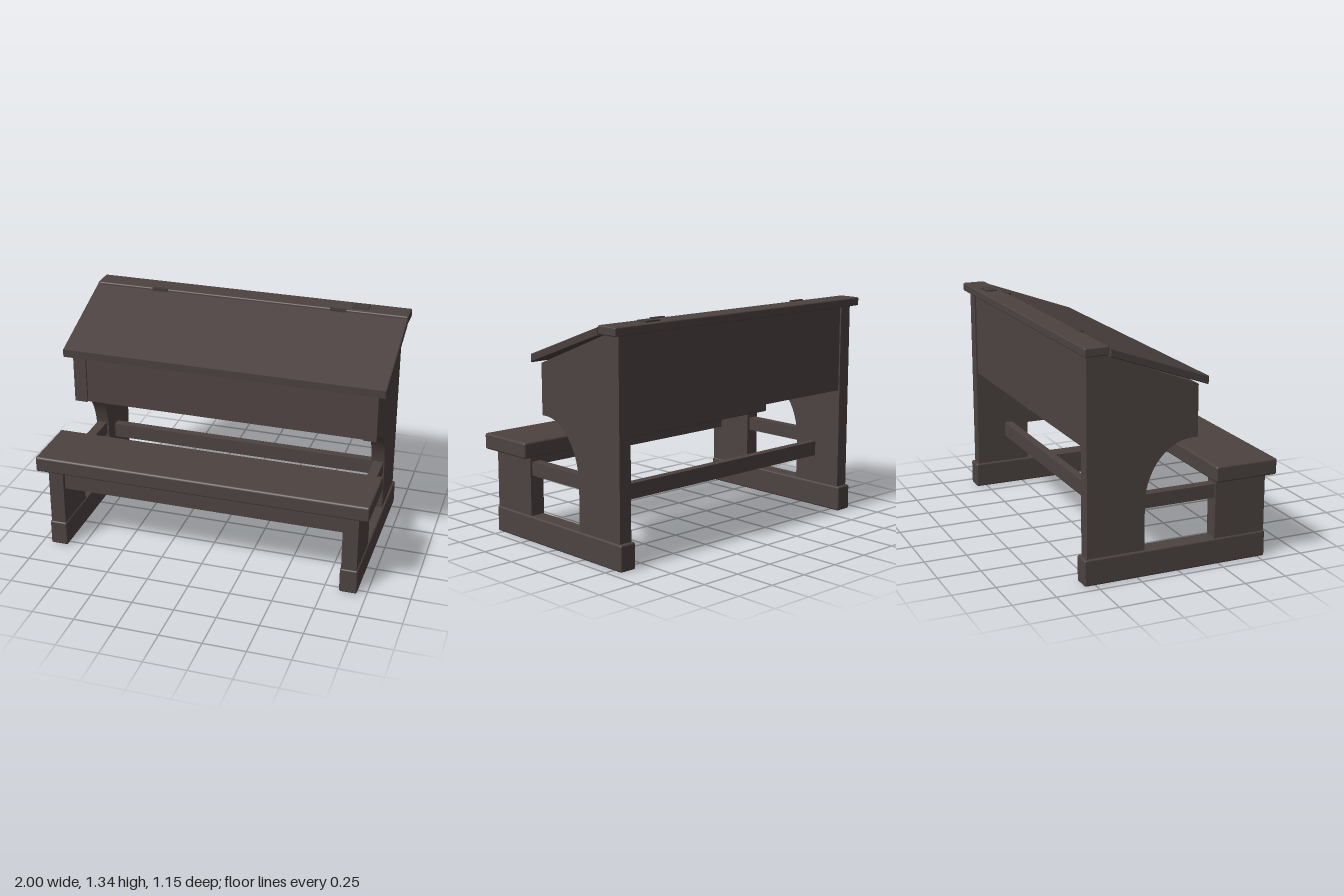
import * as THREE from 'three';
import { RoundedBoxGeometry } from 'three/addons/geometries/RoundedBoxGeometry.js';

const wood = new THREE.MeshStandardMaterial({ color: 0x4d4341 });
wood.name = 'darkWood';
const lidWood = new THREE.MeshStandardMaterial({ color: 0x4a3f3f });
lidWood.name = 'reddishWood';
const metal = new THREE.MeshStandardMaterial({ color: 0x423b3a });
metal.name = 'darkMetal';

export function createModel() {
  const model = new THREE.Group();
  model.name = 'schoolDesk';

  const add = (name, geometry, material) => {
    const mesh = new THREE.Mesh(geometry, material);
    mesh.name = name;
    model.add(mesh);
    return mesh;
  };

  // Box given by its extents; a radius softens the edges
  const box = (name, [x0, x1], [y0, y1], [z0, z1], radius = 0, material = wood) => {
    const size = [x1 - x0, y1 - y0, z1 - z0];
    const geometry = radius
      ? new RoundedBoxGeometry(...size, 2, radius)
      : new THREE.BoxGeometry(...size);
    const mesh = add(name, geometry, material);
    mesh.position.set((x0 + x1) / 2, (y0 + y1) / 2, (z0 + z1) / 2);
  };

  // Side profile drawn as (-z, y), extruded along x between x0 and x1
  const profile = (name, shape, x0, x1, bevel, material) => {
    const geometry = new THREE.ExtrudeGeometry(shape, {
      depth: x1 - x0 - 2 * bevel, curveSegments: 20,
      bevelEnabled: bevel > 0, bevelThickness: bevel, bevelSize: bevel,
      bevelOffset: -bevel, bevelSegments: 1,
    });
    geometry.rotateY(Math.PI / 2);
    geometry.translate(x0 + bevel, 0, 0);
    add(name, geometry, material);
  };

  // Desk side with a quarter-round knee cutout
  const side = new THREE.Shape();
  side.moveTo(0.205, 0.15);
  side.lineTo(0.545, 0.15);
  side.lineTo(0.545, 1.28);
  side.lineTo(0.43, 1.28);
  side.lineTo(0.43, 1.268);
  side.lineTo(-0.11, 1.056);
  side.lineTo(-0.11, 0.76);
  side.lineTo(-0.08, 0.76);
  side.absellipse(-0.08, 0.41, 0.285, 0.35, Math.PI / 2, 0, true);
  side.closePath();

  // Supports on both ends
  for (const s of [-1, 1]) {
    const label = s > 0 ? 'left' : 'right';
    const span = (a, b) => (s > 0 ? [a, b] : [-b, -a]);
    box(label + 'Foot', span(0.84, 0.945), [0, 0.152], [-0.565, 0.543], 0.01);
    box(label + 'BenchLeg', span(0.847, 0.937), [0.15, 0.51], [0.225, 0.537]);
    box(label + 'SideRail', span(0.865, 0.925), [0.39, 0.47], [-0.22, 0.23]);
    profile(label + 'DeskSide', side, ...span(0.853, 0.932), 0, wood);
  }

  // Bench
  box('seat', [-1, 1], [0.5, 0.594], [0.195, 0.575], 0.012);
  box('benchStretcher', [-0.86, 0.86], [0.375, 0.465], [0.465, 0.51]);

  // Desk compartment and its stretcher
  box('deskStretcher', [-0.86, 0.86], [0.32, 0.41], [-0.36, -0.31]);
  box('frontPanel', [-0.86, 0.86], [0.76, 1.065], [0.055, 0.097]);
  box('backPanel', [-0.86, 0.86], [0.76, 1.28], [-0.535, -0.495]);
  box('compartmentFloor', [-0.86, 0.86], [0.762, 0.79], [-0.51, 0.07]);

  // Sloping lid and flat strip behind it
  const lid = new THREE.Shape([
    [-0.147, 1.06], [0.43, 1.268], [0.43, 1.315], [-0.147, 1.107],
  ].map(([x, y]) => new THREE.Vector2(x, y)));
  profile('lid', lid, -0.98, 0.98, 0.005, lidWood);
  box('backStrip', [-0.98, 0.98], [1.277, 1.327], [-0.575, -0.435], 0.008);

  // Hinges and inkwell cover
  for (const x of [-0.565, 0.56]) {
    box('hinge', [x - 0.048, x + 0.048], [1.3, 1.332], [-0.447, -0.425], 0, metal);
  }
  box('inkwellCover', [0.635, 0.735], [1.325, 1.335], [-0.54, -0.47], 0, metal);

  return model;
}
